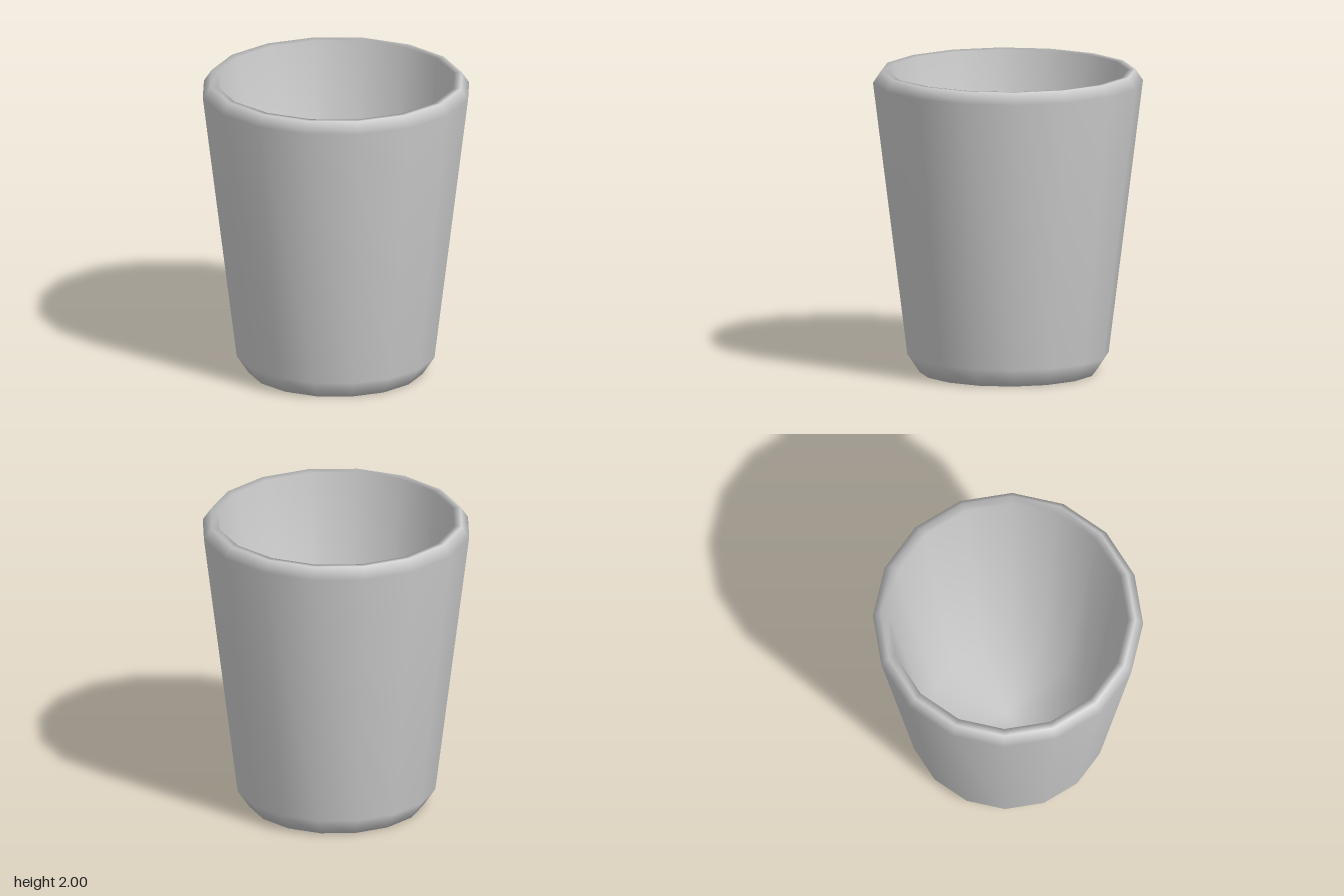
import * as THREE from 'three';

export function createModel() {
  const group = new THREE.Group();
  group.name = 'cup';

  // One closed profile: base, bevelled foot, tapered wall, bevelled flat rim, inner wall, floor
  const profile = [
    [0, 0], [0.58, 0], [0.66, 0.12],
    [0.885, 1.925], [0.835, 2], [0.785, 1.995],
    [0.52, 0.1], [0, 0.1],
  ].map(([r, y]) => new THREE.Vector2(r, y));

  // Sixteen sides with smooth normals
  const cup = new THREE.Mesh(
    new THREE.LatheGeometry(profile, 16),
    new THREE.MeshStandardMaterial({ color: 0xcccccc })
  );
  cup.name = 'cupBody';
  group.add(cup);
  return group;
}
